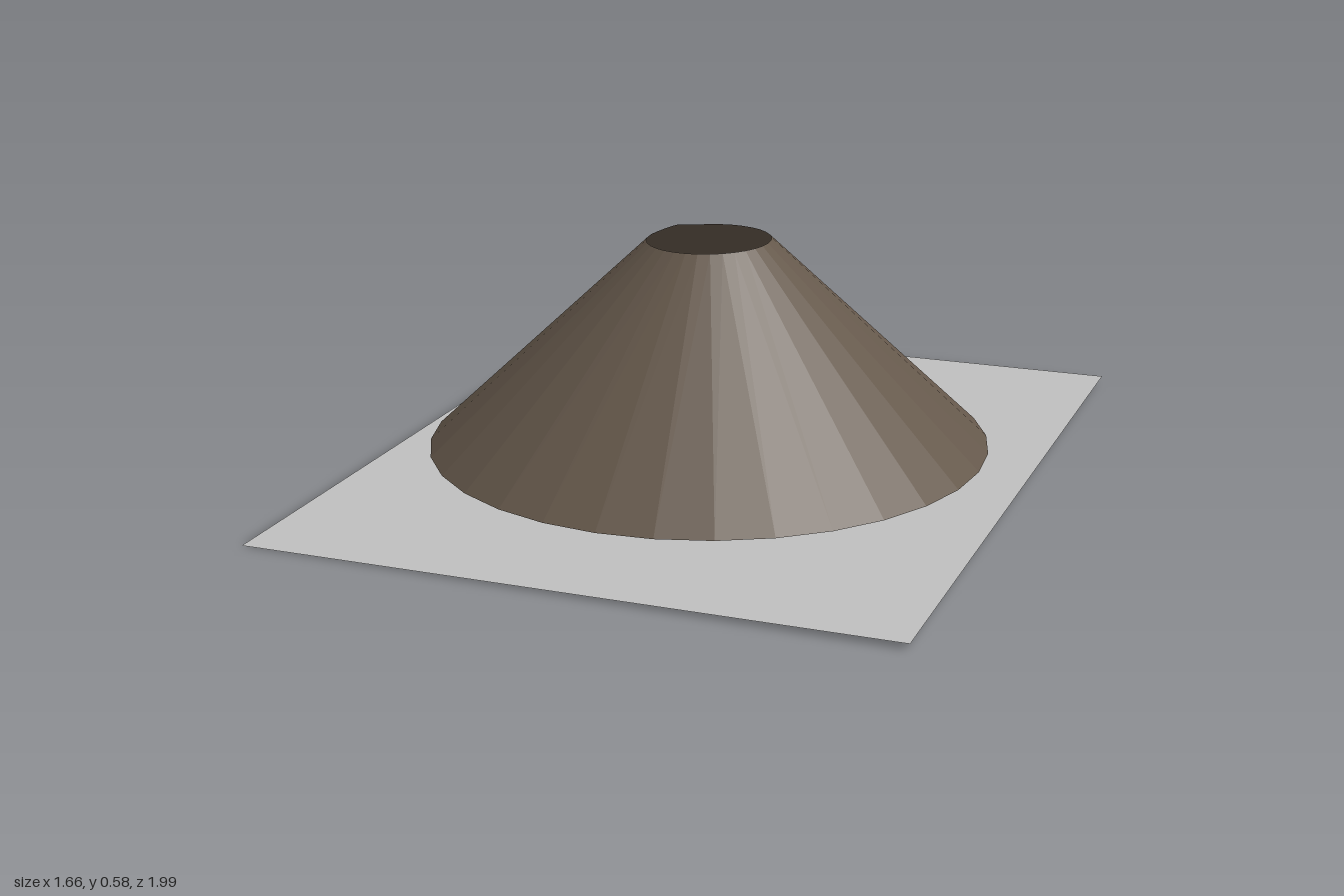
import * as THREE from 'three';

export function createModel() {
  const model = new THREE.Group();
  model.name = 'volcano';

  const rock = new THREE.MeshStandardMaterial({ color: 0x65584b, flatShading: true, side: THREE.DoubleSide });
  rock.name = 'brown rock';
  const ground = new THREE.MeshStandardMaterial({ color: 0xc0c0c0, side: THREE.DoubleSide });
  ground.name = 'grey ground';

  // Ground sheet, very slightly tilted and turned
  const sheet = new THREE.PlaneGeometry(1.65, 1.985);
  sheet.rotateX(-Math.PI / 2);
  sheet.rotateY(0.006);
  const g = sheet.attributes.position;
  for (let i = 0; i < g.count; i++) g.setY(i, 0.0115 + 0.0085 * g.getX(i) - 0.003 * g.getZ(i));
  sheet.computeVertexNormals();
  const base = new THREE.Mesh(sheet, ground);
  base.name = 'groundSheet';
  model.add(base);

  const mountain = new THREE.Group();
  mountain.name = 'mountain';
  mountain.position.set(-0.035, 0.035, -0.045);
  model.add(mountain);

  // Open truncated cone with a slightly uneven rim
  const height = 0.545, radius = 0.74;
  const cone = new THREE.CylinderGeometry(0.163, radius, height, 32, 1, true);
  cone.translate(0, height / 2, 0);
  const p = cone.attributes.position;
  for (let i = 0; i < p.count; i++) {
    if (p.getY(i) < height / 2) continue;
    const a = Math.atan2(p.getX(i), p.getZ(i));
    const chip = Math.max(0, 1 - Math.abs(a + 2.16) / 0.35); // chipped spot at back right
    const s = 1 - 0.07 * chip;
    p.setXYZ(i, p.getX(i) * s, height + 0.003 * Math.sin(a) + 0.009 * chip, p.getZ(i) * s);
  }
  cone.computeVertexNormals();
  const slopes = new THREE.Mesh(cone, rock);
  slopes.name = 'slopes';
  mountain.add(slopes);

  // Floor seen through the crater
  const disc = new THREE.CircleGeometry(radius, 32);
  disc.rotateX(-Math.PI / 2);
  const floor = new THREE.Mesh(disc, rock);
  floor.name = 'craterFloor';
  mountain.add(floor);

  return model;
}
